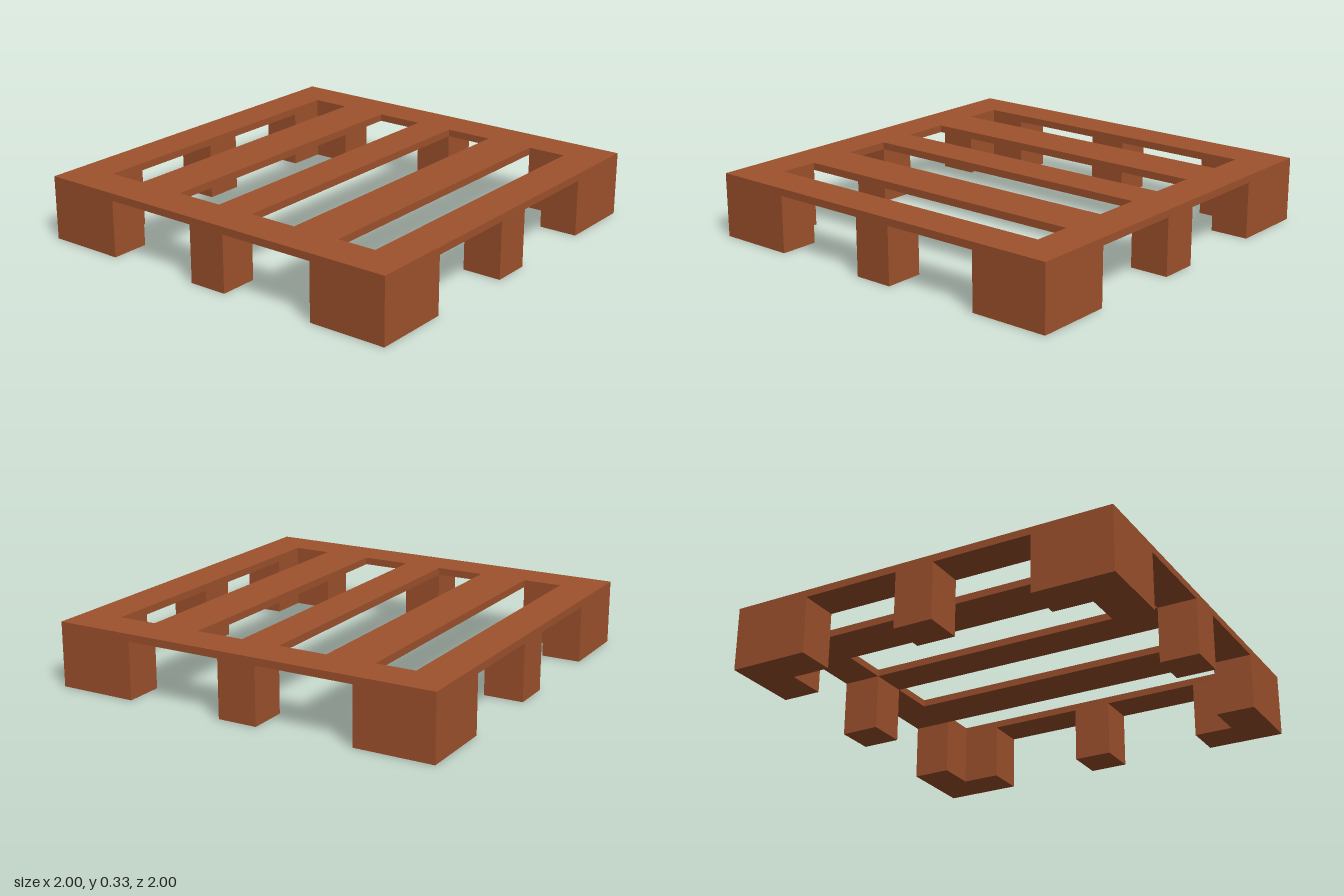
import * as THREE from 'three';

const HEIGHT = 0.326, UNDERSIDE = 0.289;
const wood = new THREE.MeshStandardMaterial({ color: 0xa0522d, flatShading: true });

const polygon = (points, Type = THREE.Shape) => new Type(points.map(([x, y]) => new THREE.Vector2(x, y)));
const rectangle = (x0, x1, h) => [[x0, -h], [x1, -h], [x1, h], [x0, h]];

// Extrude a plan outline upwards from y = 0
function slab(shape, height) {
  const geometry = new THREE.ExtrudeGeometry(shape, { depth: height, bevelEnabled: false });
  return geometry.rotateX(-Math.PI / 2);
}

function addPart(group, name, geometry) {
  const mesh = new THREE.Mesh(geometry, wood);
  mesh.name = name;
  group.add(mesh);
  return mesh;
}

export function createModel() {
  const group = new THREE.Group();
  group.name = 'pallet';

  // Slatted deck: a square board with four long slots
  const board = polygon(rectangle(-1, 1, 1));
  for (const [x0, x1] of [[-0.8, -0.6], [-0.35, -0.1], [0.1, 0.35], [0.6, 0.8]]) {
    board.holes.push(polygon(rectangle(x0, x1, 0.8), THREE.Path));
  }
  addPart(group, 'deck', slab(board, HEIGHT - UNDERSIDE)).position.y = UNDERSIDE;

  // L-shaped corner feet and square feet midway along each edge
  const corner = slab(polygon([[1, 1], [0.6, 1], [0.6, 0.8], [0.8, 0.8], [0.8, 0.6], [1, 0.6]]), UNDERSIDE);
  const middle = slab(polygon(rectangle(0.8, 1, 0.1)), UNDERSIDE);
  for (let i = 0; i < 4; i++) {
    addPart(group, 'cornerFoot', corner).rotation.y = i * Math.PI / 2;
    addPart(group, 'middleFoot', middle).rotation.y = i * Math.PI / 2;
  }
  return group;
}
